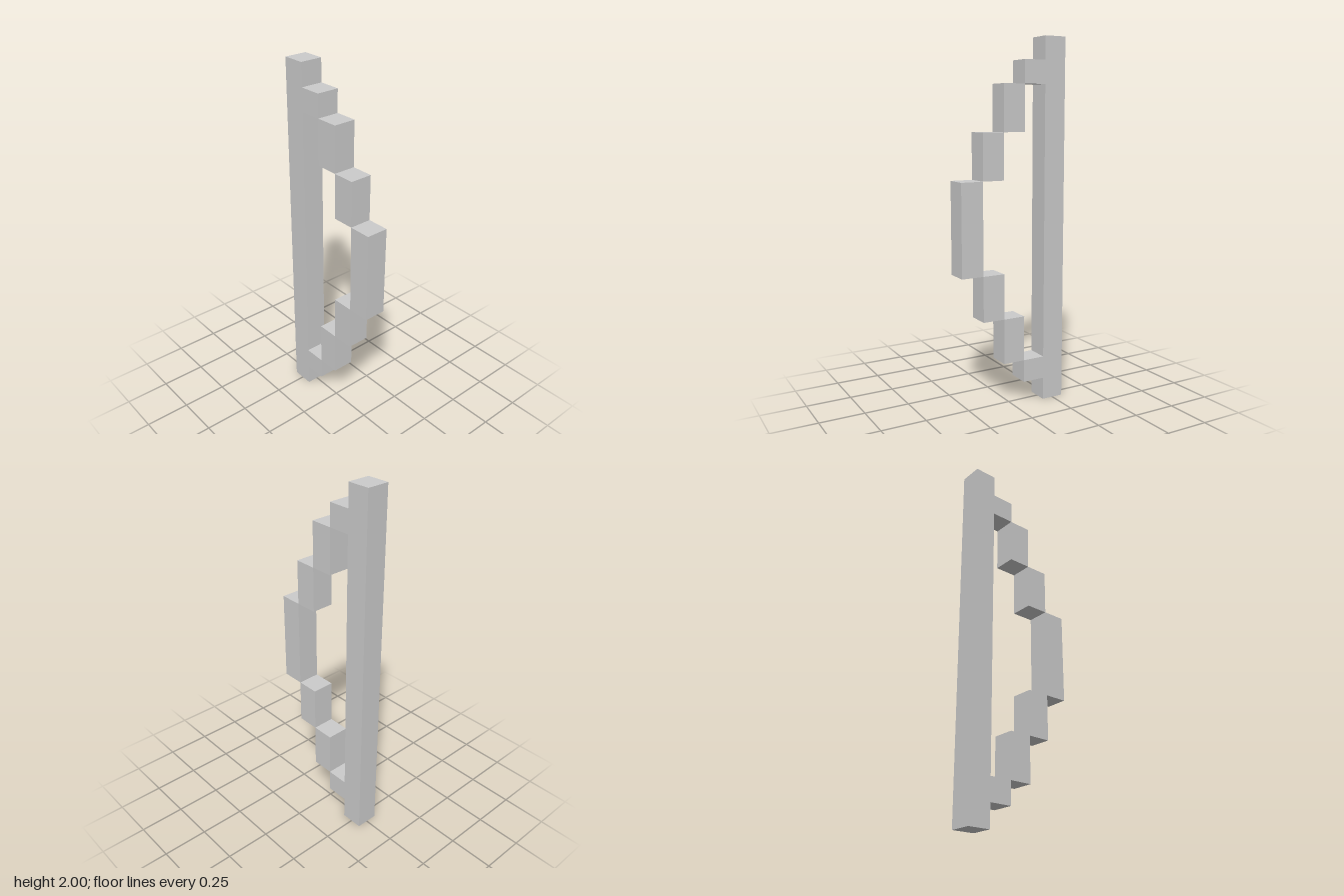
import * as THREE from 'three';

const U = 0.125; // width of one block

export function createModel() {
  const model = new THREE.Group();
  const material = new THREE.MeshStandardMaterial({ color: 0xcccccc, flatShading: true });

  // Square bar spanning y0..y1, centred at depth z
  function addBar(name, y0, y1, z) {
    const bar = new THREE.Mesh(new THREE.BoxGeometry(U, y1 - y0, U), material);
    bar.name = name;
    bar.position.set(0, (y0 + y1) / 2, z);
    model.add(bar);
  }

  // Straight upright at the back and grip at the front
  addBar('bowstring', 0, 2, -2 * U);
  addBar('grip', 0.75, 1.25, 2 * U);

  // Stepped limbs, mirrored above and below the grip
  const steps = [
    ['Tip', 0.125, 0.25, -U],
    ['LimbOuter', 0.25, 0.5, 0],
    ['LimbInner', 0.5, 0.75, U],
  ];
  for (const [name, y0, y1, z] of steps) {
    addBar('lower' + name, y0, y1, z);
    addBar('upper' + name, 2 - y1, 2 - y0, z);
  }

  return model;
}
